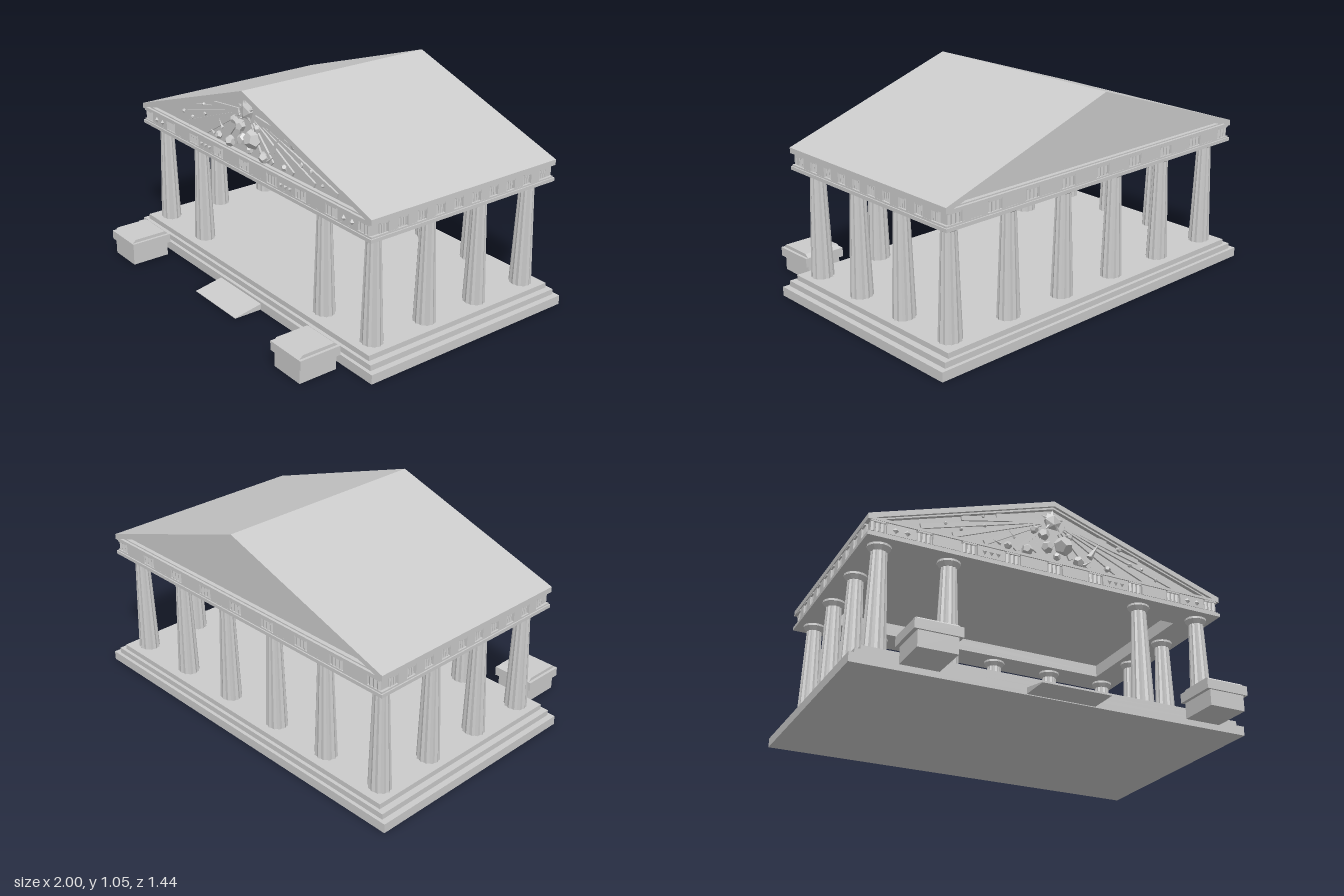
import * as THREE from 'three';

const mat = new THREE.MeshStandardMaterial({ color: 0xcccccc, flatShading: true });

function add(parent, geo, name, x = 0, y = 0, z = 0) {
  const m = new THREE.Mesh(geo, mat);
  m.name = name;
  m.position.set(x, y, z);
  parent.add(m);
  return m;
}

const box = (w, h, d) => new THREE.BoxGeometry(w, h, d);
const poly = pts => new THREE.Shape(pts.map(p => new THREE.Vector2(...p)));
const rect = (x, z) => [[-x, -z], [x, -z], [x, z], [-x, z]];

// Prism of a front outline, centred on z
function prism(pts, depth, hole) {
  const s = poly(pts);
  if (hole) s.holes.push(poly(hole));
  return new THREE.ExtrudeGeometry(s, { depth, bevelEnabled: false }).translate(0, 0, -depth / 2);
}

// Rectangular ring lying flat, from y0 to y1
function ring(x, z, ix, iz, y0, y1) {
  const s = poly(rect(x, z));
  s.holes.push(poly(rect(ix, iz)));
  return new THREE.ExtrudeGeometry(s, { depth: y1 - y0, bevelEnabled: false })
    .rotateX(-Math.PI / 2).translate(0, y0, 0);
}

// Tapered shaft with alternating ridges and grooves
function flutedShaft(rTop, rBottom, h) {
  const n = 24;
  const g = new THREE.CylinderGeometry(rTop, rBottom, h, n, 4, true);
  const p = g.attributes.position;
  for (let i = 0; i < p.count; i++) {
    if ((i % (n + 1)) % 2) {
      p.setX(i, p.getX(i) * 0.9);
      p.setZ(i, p.getZ(i) * 0.9);
    }
  }
  return g;
}

function column(shaft, capital, abacus) {
  const g = new THREE.Group();
  g.name = 'column';
  add(g, shaft, 'shaft', 0, 0.353);
  add(g, capital, 'capital', 0, 0.615);
  add(g, abacus, 'abacus', 0, 0.63);
  g.scale.x = 1.14;
  return g;
}

// One run of frieze facing +z: grooved blocks alternating with panels
function friezeRun(count, step, blockW, decorated) {
  const g = new THREE.Group();
  g.name = 'frieze';
  const bar = new THREE.CylinderGeometry(blockW / 6, blockW / 6, 0.05, 6);
  for (let i = 0; i < count; i++) {
    const x = (i - (count - 1) / 2) * step;
    for (let k = -1; k <= 1; k++) add(g, bar, 'triglyphBar', x + k * blockW / 3, 0.687, -0.014);
    add(g, box(blockW, 0.008, 0.016), 'triglyphCap', x, 0.712, -0.008);
    if (i === count - 1) break;
    const mx = x + step / 2, w = step - blockW - 0.012;
    add(g, box(w, 0.054, 0.014), 'metopePanel', mx, 0.688, -0.01);
    if (!decorated || i % 2 !== (i < 4 ? 0 : 1)) continue;
    const outer = Math.abs(mx) > 0.6;
    for (const s of outer ? [-0.028, 0.028] : [-0.035, 0, 0.035]) {
      const d = add(g, new THREE.ConeGeometry(outer ? 0.017 : 0.015, 0.012, outer ? 4 : 3),
        'metopeRelief', mx + s, 0.686, 0.002);
      d.rotation.x = Math.PI / 2;
    }
  }
  return g;
}

// Relief of rays, head and tumbling stones in the front gable
function gableRelief() {
  const g = new THREE.Group();
  g.name = 'gableRelief';
  const cy = 0.955;
  const rays = [[-0.68, 0.755], [-0.52, 0.75], [-0.36, 0.75], [-0.2, 0.75], [-0.1, 0.77], [-0.3, 0.91], [-0.48, 0.85]];
  for (const s of [-1, 1]) {
    for (const [rx, ry] of rays) {
      const dx = rx * s, dy = ry - cy, len = Math.hypot(dx, dy);
      const a = Math.atan2(dy, dx);
      const ray = add(g, prism([[0.07, -0.004], [len, -0.013], [len, 0.013], [0.07, 0.004]], 0.012), 'ray', 0, cy, 0.003);
      ray.rotation.z = a;
    }
  }
  const head = add(g, new THREE.IcosahedronGeometry(0.05, 0), 'head', 0, cy, 0.005);
  head.scale.z = 0.5;
  for (let i = 0; i < 5; i++) {
    const a = Math.PI / 2 + i * Math.PI * 0.4;
    const spike = add(g, new THREE.ConeGeometry(0.02, 0.05, 4), 'crownSpike', Math.cos(a) * 0.04, cy + Math.sin(a) * 0.04, 0.01);
    spike.rotation.z = a - Math.PI / 2;
    spike.scale.z = 0.6;
  }
  // x, y, size of each stone
  const stones = [[-0.05, 0.87, 0.032], [0.055, 0.83, 0.05], [-0.03, 0.805, 0.032], [-0.14, 0.765, 0.03],
    [0.14, 0.765, 0.03], [-0.24, 0.765, 0.02], [0.02, 0.765, 0.02], [0.09, 0.89, 0.02], [-0.1, 0.885, 0.022],
    [-0.37, 0.885, 0.01], [-0.36, 0.84, 0.01], [0.37, 0.89, 0.016], [0.43, 0.82, 0.012], [-0.48, 0.79, 0.01],
    [0.5, 0.81, 0.01], [0.3, 0.765, 0.018], [-0.56, 0.8, 0.01], [0.58, 0.77, 0.01]];
  stones.forEach(([x, y, r], i) => {
    const st = add(g, new THREE.DodecahedronGeometry(r, 0), 'stone', x, y, 0.008);
    st.rotation.set(i * 1.3, i * 0.7, i * 2.1);
  });
  for (const [x, y, l, a] of [[0.23, 0.85, 0.11, -0.55], [-0.3, 0.77, 0.05, 1.2], [0.19, 0.77, 0.06, -0.9], [-0.22, 0.83, 0.05, 0.7]]) {
    const shard = add(g, new THREE.ConeGeometry(l * 0.16, l, 4), 'shard', x, y, 0.008);
    shard.rotation.z = a;
  }
  return g;
}

function pedestal(x) {
  const g = new THREE.Group();
  g.name = 'pedestal';
  add(g, box(0.184, 0.08, 0.2), 'pedestalBase', 0, 0.047);
  add(g, box(0.22, 0.046, 0.217), 'pedestalBlock', 0, 0.107);
  const cap = box(0.192, 0.016, 0.208);
  const p = cap.attributes.position;
  for (let i = 0; i < p.count; i++) if (p.getY(i) > 0) p.setZ(i, p.getZ(i) * 0.82);
  add(g, cap, 'pedestalCap', 0, 0.138);
  g.position.set(x, 0, 0.613);
  return g;
}

export function createModel() {
  const root = new THREE.Group();
  root.name = 'temple';
  const temple = new THREE.Group();
  temple.name = 'building';
  temple.position.z = -0.128;
  root.add(temple);

  // Stepped platform
  add(temple, box(2, 0.046, 1.184), 'lowerStep', 0, 0.023);
  add(temple, box(1.94, 0.028, 1.15), 'middleStep', 0, 0.06);
  add(temple, box(1.876, 0.026, 1.116), 'upperStep', 0, 0.087);

  // Colonnade, with a wide opening in the middle of the front
  const shaft = flutedShaft(0.034, 0.051, 0.506);
  const capital = new THREE.CylinderGeometry(0.05, 0.034, 0.022, 16);
  const abacus = new THREE.CylinderGeometry(0.05, 0.05, 0.012, 16);
  for (let r = 0; r < 4; r++) {
    for (let c = 0; c < 6; c++) {
      const edge = c === 0 || c === 5;
      const front = r === 3 && c !== 2 && c !== 3;
      if (!edge && r !== 0 && !front) continue;
      const col = column(shaft, capital, abacus);
      col.position.set((c - 2.5) * 0.34, 0, (r - 1.5) * 0.313);
      temple.add(col);
    }
  }

  // Beams and recessed ceiling
  add(temple, ring(0.938, 0.558, 0.77, 0.39, 0.635, 0.652), 'architrave');
  add(temple, ring(0.932, 0.552, 0.77, 0.39, 0.652, 0.66), 'architraveLip');
  add(temple, ring(0.92, 0.54, 0.77, 0.39, 0.66, 0.716), 'friezeCore');
  add(temple, box(1.8, 0.014, 1.04), 'ceiling', 0, 0.708);

  // Frieze on all four sides
  for (let i = 0; i < 4; i++) {
    const side = i % 2 === 1;
    const run = side ? friezeRun(10, 0.1075, 0.042, false) : friezeRun(9, 0.222, 0.07, i === 0);
    const pivot = new THREE.Group();
    pivot.name = 'friezeSide';
    pivot.rotation.y = i * Math.PI / 2;
    run.position.z = side ? 0.936 : 0.556;
    pivot.add(run);
    temple.add(pivot);
  }

  // Roof shell with a recessed gable wall at each end
  const outline = [[-0.938, 0.716], [0.938, 0.716], [0.938, 0.743], [0, 1.055], [-0.938, 0.743]];
  const inner = [[-0.9, 0.729], [0.9, 0.729], [0, 1.028]];
  add(temple, prism(outline, 1.116, inner), 'roof');
  add(temple, prism([[-0.9, 0.729], [0.9, 0.729], [0, 1.028]], 1.09, [[-0.86, 0.735], [0.86, 0.735], [0, 1.018]]), 'gableMoulding');
  add(temple, prism([[-0.88, 0.73], [0.88, 0.73], [0, 1.022]], 1.05), 'gableWall');
  const relief = gableRelief();
  relief.position.z = 0.525;
  temple.add(relief);

  // Entrance ramp
  const ramp = prism([[0.45, 0.004], [0.613, 0.004], [0.613, 0.007], [0.45, 0.037]], 0.347);
  add(root, ramp, 'ramp').rotation.y = -Math.PI / 2;

  // Pedestals either side of the entrance
  root.add(pedestal(-0.703), pedestal(0.725));
  return root;
}
